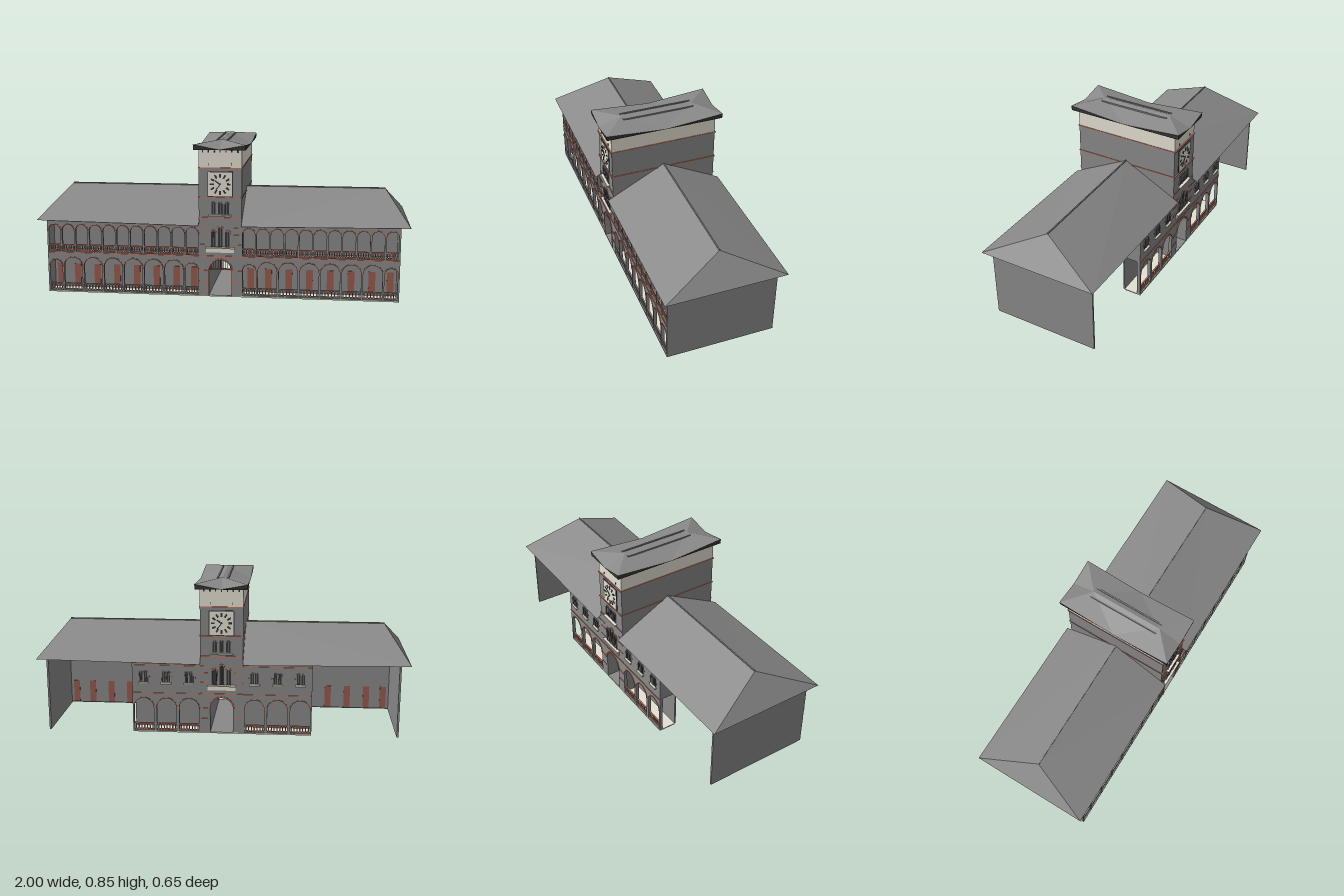
import * as THREE from 'three';

const mat = (name, color, side = THREE.FrontSide) => {
  const m = new THREE.MeshStandardMaterial({ color, side });
  m.name = name;
  return m;
};
const stone = mat('grey stone', 0x898989);
const roofing = mat('grey roofing', 0x898989, THREE.DoubleSide);
const cream = mat('cream plaster', 0xe5e0d3);
const brick = mat('salmon brick', 0xc87560);
const door = mat('red brown wood', 0x98594c);
const dark = mat('dark metal and glass', 0x363636);
const fascia = mat('dark fascia', 0x363636, THREE.DoubleSide);

const TOWER = 0.115, WING = 0.95, FRONT = 0.295, GALLERY = 0.2;

function add(parent, name, geometry, material) {
  const mesh = new THREE.Mesh(geometry, material);
  mesh.name = name;
  parent.add(mesh);
  return mesh;
}

// Box given by its minimum and maximum corners
function block(parent, name, material, [x0, y0, z0], [x1, y1, z1]) {
  const mesh = add(parent, name, new THREE.BoxGeometry(x1 - x0, y1 - y0, z1 - z0), material);
  mesh.position.set((x0 + x1) / 2, (y0 + y1) / 2, (z0 + z1) / 2);
}

function plate(parent, name, material, shape, z, depth) {
  const geometry = new THREE.ExtrudeGeometry(shape, { depth, bevelEnabled: false, curveSegments: 10 });
  add(parent, name, geometry, material).position.z = z;
}

function rectangle(x0, y0, x1, y1) {
  return new THREE.Shape([[x0, y0], [x1, y0], [x1, y1], [x0, y1]].map(p => new THREE.Vector2(...p)));
}

// Round-headed opening
function arch(cx, y0, hw, spring) {
  const s = new THREE.Shape();
  s.moveTo(cx - hw, y0);
  s.lineTo(cx + hw, y0);
  s.lineTo(cx + hw, spring);
  s.absarc(cx, spring, hw, 0, Math.PI, false);
  s.closePath();
  return s;
}

// Trim around a round head, with legs reaching down to y0
function archTrim(cx, y0, hw, spring, t) {
  const s = new THREE.Shape();
  s.moveTo(cx + hw + t, y0);
  s.lineTo(cx + hw + t, spring);
  s.absarc(cx, spring, hw + t, 0, Math.PI, false);
  s.lineTo(cx - hw - t, y0);
  s.lineTo(cx - hw, y0);
  s.lineTo(cx - hw, spring);
  s.absarc(cx, spring, hw, Math.PI, 0, true);
  s.closePath();
  return s;
}

// Faceted sheet from corner points and triangles
function sheet(points, triangles) {
  const g = new THREE.BufferGeometry();
  g.setAttribute('position', new THREE.Float32BufferAttribute(triangles.flat().flatMap(i => points[i]), 3));
  g.computeVertexNormals();
  return g;
}

function balustrade(parent, cx, hw, y0, y1, z, railMaterial) {
  const g = new THREE.Group();
  g.name = 'balustrade';
  parent.add(g);
  block(g, 'handrail', railMaterial, [cx - hw, y1 - 0.006, z], [cx + hw, y1, z + 0.008]);
  block(g, 'lowerRail', railMaterial, [cx - hw, y0 + 0.004, z], [cx + hw, y0 + 0.009, z + 0.008]);
  const n = Math.max(5, Math.round(hw / 0.008));
  for (let i = 0; i < n; i++) {
    const x = cx - hw + (2 * hw * (i + 0.5)) / n;
    block(g, 'baluster', i % 2 ? brick : stone, [x - 0.003, y0, z + 0.002], [x + 0.003, y1 - 0.006, z + 0.006]);
  }
}

// Row of arched bays: pierced wall, brick trims and balustrades
function arcade(parent, name, bays, { bottom, top, sill, spring, margin, railTop, rail }) {
  const last = bays[bays.length - 1];
  const wall = rectangle(bays[0].x - bays[0].w / 2, bottom, last.x + last.w / 2, top);
  for (const { x, w } of bays) {
    const hw = w / 2 - margin;
    wall.holes.push(arch(x, sill, hw, spring));
    plate(parent, 'archTrim', brick, archTrim(x, spring, hw, spring, 0.0045), FRONT - 0.002, 0.005);
    balustrade(parent, x, hw, sill, railTop, FRONT - 0.014, rail);
  }
  plate(parent, name, stone, wall, FRONT - 0.018, 0.018);
}

function evenBays(x0, widths) {
  return widths.map(w => { const bay = { x: x0 + w / 2, w }; x0 += w; return bay; });
}

function archedWindow(parent, x, y0, hw, spring, z) {
  plate(parent, 'windowPane', dark, arch(x, y0, hw, spring), z, 0.002);
  plate(parent, 'windowTrim', stone, archTrim(x, y0, hw, spring, 0.003), z, 0.005);
  block(parent, 'windowBar', stone, [x - 0.001, y0, z], [x + 0.001, spring + hw, z + 0.004]);
}

// One wing on the +x side
function wing() {
  const g = new THREE.Group();
  const lower = evenBays(TOWER, [0.0825, ...Array(6).fill(0.1117), 0.0825]);
  const upper = evenBays(TOWER, Array(11).fill((WING - TOWER) / 11));
  arcade(g, 'lowerArcade', lower,
    { bottom: 0.006, top: 0.222, sill: 0.008, spring: 0.145, margin: 0.005, railTop: 0.05, rail: stone });
  arcade(g, 'upperArcade', upper,
    { bottom: 0.222, top: 0.4, sill: 0.228, spring: 0.345, margin: 0.0048, railTop: 0.267, rail: brick });
  block(g, 'floorBand', brick, [TOWER, 0.219, FRONT], [WING, 0.224, FRONT + 0.004]);
  block(g, 'upperFloor', stone, [TOWER, 0.214, GALLERY], [WING, 0.224, FRONT - 0.018]);
  block(g, 'galleryFloor', cream, [TOWER, 0, GALLERY], [WING, 0.006, FRONT]);
  block(g, 'galleryWall', stone, [TOWER, 0.006, GALLERY - 0.01], [WING, 0.45, GALLERY]);
  block(g, 'endWall', stone, [WING - 0.008, 0, -0.292], [WING + 0.002, 0.403, FRONT]);
  for (const { x } of lower)
    block(g, 'galleryDoor', door, [x - 0.018, 0.008, GALLERY - 0.013], [x + 0.018, 0.138, GALLERY + 0.003]);

  // Hipped roof, sagging a little towards the tower
  const roof = sheet([
    [TOWER, 0.393, 0.325], [1, 0.405, 0.325], [1, 0.405, -0.325], [TOWER, 0.393, -0.325],
    [TOWER, 0.563, 0], [0.88, 0.563, 0],
  ], [[0, 1, 5], [0, 5, 4], [1, 2, 5], [2, 3, 4], [2, 4, 5]]);
  add(g, 'wingRoof', roof, roofing);
  block(g, 'ridgeCap', roofing, [TOWER, 0.561, -0.003], [0.88, 0.567, 0.003]);
  return g;
}

// Rear porch on one side of the tower, modelled facing +z
function porch() {
  const g = new THREE.Group();
  const end = 0.485, bays = evenBays(TOWER, Array(3).fill((end - TOWER) / 3));
  arcade(g, 'porchArcade', bays,
    { bottom: 0.006, top: 0.222, sill: 0.008, spring: 0.14, margin: 0.008, railTop: 0.05, rail: brick });
  block(g, 'porchFloor', cream, [TOWER, 0, GALLERY], [end, 0.006, FRONT]);
  block(g, 'porchWall', stone, [TOWER, 0.006, GALLERY - 0.008], [end, 0.222, GALLERY]);
  block(g, 'porchUpperRoom', stone, [TOWER, 0.222, GALLERY - 0.008], [end, 0.4, FRONT]);
  for (const y of [0.22, 0.375]) block(g, 'porchBand', brick, [TOWER, y, FRONT], [end, y + 0.004, FRONT + 0.004]);
  for (const { x } of bays) {
    for (const s of [-1, 1]) archedWindow(g, x + s * 0.012, 0.285, 0.009, 0.335, FRONT);
    block(g, 'windowSill', cream, [x - 0.028, 0.274, FRONT], [x + 0.028, 0.283, FRONT + 0.012]);
    for (const s of [-1, 1])
      block(g, 'windowQuoin', brick, [x + s * 0.031 - 0.004, 0.31, FRONT], [x + s * 0.031 + 0.004, 0.316, FRONT + 0.003]);
  }
  return g;
}

function clock() {
  const g = new THREE.Group();
  g.name = 'clock';
  const bar = (name, x, y, w, h, angle, z, m = dark) => {
    const b = add(g, name, new THREE.BoxGeometry(w, h, 0.003), m);
    b.position.set(x, y, z);
    b.rotation.z = angle;
  };
  bar('clockFrame', 0, 0, 0.136, 0.136, 0, 0.0015);
  bar('clockFace', 0, 0, 0.128, 0.128, 0, 0.0035, cream);
  for (let i = 0; i < 12; i++) {
    const a = (i * Math.PI) / 6;
    bar('hourMark', -Math.sin(a) * 0.046, Math.cos(a) * 0.046, 0.009, 0.02, a, 0.0055);
  }
  bar('hourHand', -0.012, 0.008, 0.006, 0.032, 0.95, 0.0065);
  bar('minuteHand', -0.01, -0.014, 0.005, 0.042, 2.5, 0.0065);
  g.position.set(0, 0.615, FRONT);
  return g;
}

// Decorated tower face; gateFoot is where the legs of the gate trim end
function towerFace(gateFoot) {
  const g = new THREE.Group();
  const z = FRONT;
  g.add(clock());
  for (const y of [0.22, 0.43])
    block(g, 'brickBand', brick, [-TOWER, y, z], [TOWER, y + 0.006, z + 0.004]);
  for (const y of [0.08, 0.14, 0.283, 0.337, 0.375]) for (const s of [-1, 1]) {
    const x = s * 0.094;
    block(g, 'brickCourse', brick, [x - 0.021, y, z], [x + 0.021, y + 0.005, z + 0.003]);
  }
  // Two tiers of triple windows
  for (const i of [-1, 0, 1]) {
    archedWindow(g, i * 0.036, 0.455, 0.011, 0.507, z);
    const spring = i ? 0.35 : 0.372;
    archedWindow(g, i * 0.038, 0.275, 0.012, spring, z);
    plate(g, 'windowArch', brick, archTrim(i * 0.038, spring, 0.015, spring, 0.004), z, 0.004);
  }
  block(g, 'upperSill', cream, [-0.06, 0.444, z], [0.06, 0.45, z + 0.016]);
  block(g, 'balcony', cream, [-0.075, 0.245, z], [0.075, 0.268, z + 0.006]);
  block(g, 'balconyLedge', cream, [-0.078, 0.268, z], [0.078, 0.275, z + 0.016]);
  plate(g, 'gateTrim', brick, archTrim(0, gateFoot, 0.062, 0.14, 0.007), z, 0.004);
  // Dentils under the eaves
  block(g, 'eavesBand', brick, [-TOWER, 0.796, z], [TOWER, 0.8, z + 0.003]);
  for (let i = -3; i <= 3; i++)
    block(g, 'dentil', dark, [i * 0.031 - 0.003, 0.784, z], [i * 0.031 + 0.003, 0.795, z + 0.004]);
  for (const x of [-0.06, 0.06])
    block(g, 'smallVent', dark, [x - 0.001, 0.715, z], [x + 0.001, 0.728, z + 0.003]);
  return g;
}

function tower() {
  const g = new THREE.Group();
  const body = rectangle(-TOWER, 0.006, TOWER, 0.7);
  body.holes.push(arch(0, 0.0065, 0.062, 0.14));
  plate(g, 'towerBody', stone, body, -FRONT, 2 * FRONT);
  block(g, 'passageFloor', cream, [-TOWER, 0, -FRONT], [TOWER, 0.006, FRONT]);
  block(g, 'towerTop', cream, [-TOWER, 0.7, -FRONT], [TOWER, 0.8, FRONT]);
  for (const y of [0.541, 0.699])
    block(g, 'towerBand', brick, [-0.118, y, -0.301], [0.118, y + 0.005, 0.301]);
  // Gate grille
  block(g, 'grilleRail', door, [-0.062, 0.148, 0.28], [0.062, 0.153, 0.285]);
  for (let i = -4; i <= 4; i++) {
    const x = i * 0.013, top = 0.14 + Math.sqrt(0.062 ** 2 - x * x);
    block(g, 'grilleBar', door, [x - 0.0015, 0.145, 0.28], [x + 0.0015, top, 0.284]);
  }
  // Roof with lifted corners, above a level dark fascia
  const eaves = [
    [-0.14, 0.827, 0.327], [0, 0.801, 0.327], [0.14, 0.827, 0.327], [0.14, 0.801, 0],
    [0.14, 0.827, -0.327], [0, 0.801, -0.327], [-0.14, 0.827, -0.327], [-0.14, 0.801, 0],
  ];
  const roof = sheet([...eaves, [0, 0.845, 0.2], [0, 0.845, -0.2]],
    [[0, 1, 8], [1, 2, 8], [2, 3, 8], [3, 9, 8], [3, 4, 9], [4, 5, 9], [5, 6, 9], [6, 7, 9], [7, 8, 9], [7, 0, 8]]);
  add(g, 'towerRoof', roof, roofing);
  const feet = eaves.map(([x, , z]) => [x * 0.985, 0.8, z * 0.994]);
  const skirt = eaves.flatMap((_, i) => {
    const j = (i + 1) % 8;
    return [[i, i + 8, j + 8], [i, j + 8, j]];
  });
  add(g, 'towerFascia', sheet([...eaves, ...feet], skirt), fascia);
  for (const s of [-1, 1])
    block(g, 'roofBatten', roofing, [s * 0.028 - 0.004, 0.832, -0.2], [s * 0.028 + 0.004, 0.843, 0.2]);
  return g;
}

export function createModel() {
  const model = new THREE.Group();
  model.name = 'clockTowerBuilding';
  const place = (name, part, mirror, back) => {
    part.name = name;
    if (mirror) part.scale.x = -1;
    if (back) part.rotation.y = Math.PI;
    model.add(part);
  };
  place('tower', tower());
  for (const mirror of [false, true]) {
    place(mirror ? 'rightWing' : 'leftWing', wing(), mirror);
    place(mirror ? 'leftPorch' : 'rightPorch', porch(), mirror, true);
  }
  place('towerFront', towerFace(0.006));
  place('towerBack', towerFace(0.14), false, true);
  return model;
}
